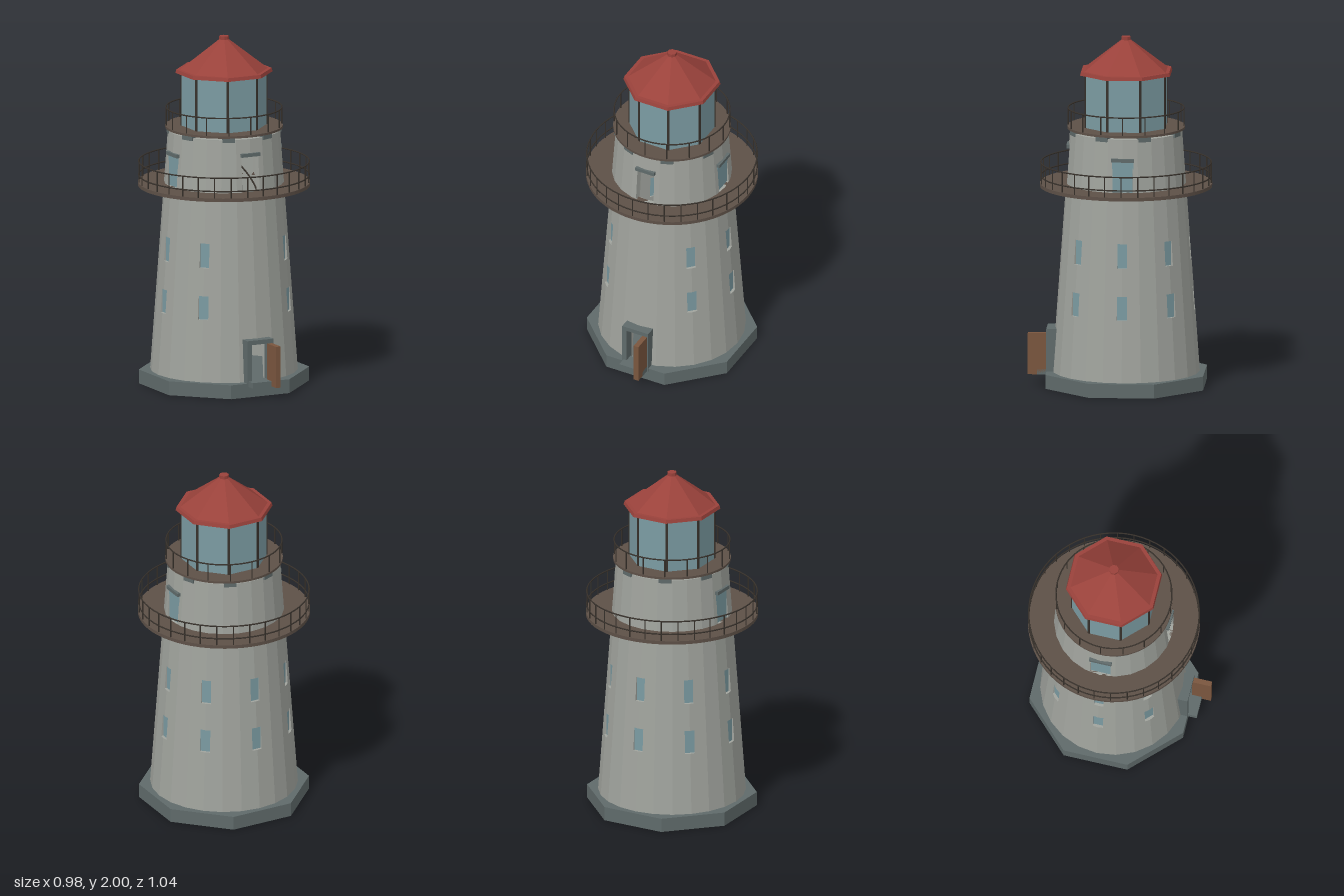
import * as THREE from 'three';

const mat = (name, color, extra = {}) => {
  const m = new THREE.MeshStandardMaterial({ color, ...extra });
  m.name = name;
  return m;
};
const RAD = Math.PI / 180;
const OCT = Math.cos(Math.PI / 8);

export function createModel() {
  const M = {
    wall: mat('grey wall', 0xa0a39d, { side: THREE.DoubleSide }),
    stone: mat('dark stone', 0x5f6a6a),
    deck: mat('brown deck', 0x5d5047),
    iron: mat('dark iron', 0x37312b),
    glass: mat('blue glass', 0x7b9ba2),
    roof: mat('red roof', 0x9a423b),
    wood: mat('brown wood', 0x7a563e),
  };
  const root = new THREE.Group();
  root.name = 'lighthouse';
  const model = new THREE.Group();
  model.name = 'tower';
  model.position.z = -0.033;
  root.add(model);

  const add = (name, geo, material, parent = model) => {
    const mesh = new THREE.Mesh(geo, material);
    mesh.name = name;
    parent.add(mesh);
    return mesh;
  };
  const flat = (g) => {
    g = g.toNonIndexed();
    g.computeVertexNormals();
    return g;
  };
  // Box given by its ranges on each axis
  const box = (name, m, x0, x1, y0, y1, z0, z1, parent) => {
    const b = add(name, new THREE.BoxGeometry(x1 - x0, y1 - y0, z1 - z0), m, parent);
    b.position.set((x0 + x1) / 2, (y0 + y1) / 2, (z0 + z1) / 2);
    return b;
  };
  // Octagonal prism or frustum, sized by the distance to its flat sides
  const octagon = (name, m, bottom, top, y0, y1) => {
    const g = new THREE.CylinderGeometry(top / OCT, bottom / OCT, y1 - y0, 8, 1, false, Math.PI / 8);
    add(name, flat(g), m).position.y = (y0 + y1) / 2;
  };
  // Group turned to face a compass angle (0 = front, 90 = +x)
  const facing = (name, deg) => {
    const g = new THREE.Group();
    g.name = name;
    g.rotation.y = deg * RAD;
    model.add(g);
    return g;
  };

  // Foundation
  octagon('foundation', M.stone, 0.447, 0.447, 0, 0.08);

  // Tapered, 24-sided hollow wall with cut openings
  const radius = (y) => 0.418 - (y - 0.08) * 0.0725;
  const openings = [
    { a: 0, h: 8, y0: 0.08, y1: 0.3 },
    { a: 0, h: 9.5, y0: 1.16, y1: 1.365 },
    { a: 90, h: 10, y0: 1.16, y1: 1.34 },
    { a: 270, h: 10, y0: 1.16, y1: 1.34 },
  ];
  const windows = [];
  for (let a = 45; a < 360; a += 45) {
    for (const [y0, y1] of [[0.435, 0.57], [0.73, 0.87]]) windows.push({ a, h: 4.4, y0, y1 });
  }
  openings.push(...windows);
  const unique = (list) => [...new Set(list)].sort((p, q) => p - q);
  const angles = unique([
    ...Array.from({ length: 25 }, (_, i) => -30 + i * 15),
    ...openings.flatMap((o) => [o.a - o.h, o.a + o.h]),
  ]);
  const levels = unique([0.08, 1.46, ...openings.flatMap((o) => [o.y0, o.y1])]);
  const point = (deg, y, inset) => {
    const k = Math.floor(deg / 15) * 15, t = (deg - k) / 15, r = radius(y) - inset;
    const f = (fn) => r * (fn(k * RAD) * (1 - t) + fn((k + 15) * RAD) * t);
    return [f(Math.sin), y, f(Math.cos)];
  };
  const pos = [];
  const quad = (a, b, c, d) => pos.push(...a, ...b, ...c, ...a, ...c, ...d);
  const T = 0.03;
  for (let i = 0; i < angles.length - 1; i++) {
    for (let j = 0; j < levels.length - 1; j++) {
      const [a0, a1, y0, y1] = [angles[i], angles[i + 1], levels[j], levels[j + 1]];
      const am = (a0 + a1) / 2, ym = (y0 + y1) / 2;
      if (openings.some((o) => Math.abs(am - o.a) < o.h && ym > o.y0 && ym < o.y1)) continue;
      quad(point(a0, y0, 0), point(a1, y0, 0), point(a1, y1, 0), point(a0, y1, 0));
      quad(point(a1, y0, T), point(a0, y0, T), point(a0, y1, T), point(a1, y1, T));
    }
  }
  // Reveals around each opening
  for (const o of openings) {
    const l = o.a - o.h, r = o.a + o.h;
    quad(point(l, o.y0, 0), point(l, o.y0, T), point(l, o.y1, T), point(l, o.y1, 0));
    quad(point(r, o.y0, T), point(r, o.y0, 0), point(r, o.y1, 0), point(r, o.y1, T));
    const span = angles.filter((a) => a >= l && a <= r);
    for (let i = 0; i < span.length - 1; i++) {
      const [a, b] = [span[i], span[i + 1]];
      quad(point(a, o.y0, 0), point(b, o.y0, 0), point(b, o.y0, T), point(a, o.y0, T));
      quad(point(a, o.y1, T), point(b, o.y1, T), point(b, o.y1, 0), point(a, o.y1, 0));
    }
  }
  const wall = new THREE.BufferGeometry();
  wall.setAttribute('position', new THREE.Float32BufferAttribute(pos, 3));
  wall.computeVertexNormals();
  add('towerWall', wall, M.wall);
  add('towerCap', flat(new THREE.CylinderGeometry(0.318, 0.318, 0.01, 24)), M.wall).position.y = 1.457;

  // Recessed window panes
  for (const w of windows) {
    const r = radius((w.y0 + w.y1) / 2) - 0.012;
    box('windowPane', M.glass, -0.03, 0.03, w.y0, w.y1, r - 0.008, r, facing('window', w.a));
  }

  // Entrance with stone frame, step and open door
  const entrance = facing('entrance', 0);
  for (const s of [-1, 1]) box('doorJamb', M.stone, s * 0.069 - 0.014, s * 0.069 + 0.014, 0.06, 0.3, 0.385, 0.448, entrance);
  box('doorLintel', M.stone, -0.083, 0.083, 0.3, 0.325, 0.385, 0.448, entrance);
  box('doorStep', M.stone, -0.075, 0.075, 0.06, 0.092, 0.4, 0.5, entrance);
  box('openDoor', M.wood, 0.045, 0.075, 0.062, 0.3, 0.443, 0.553, entrance);

  // Balcony doorways: open at the front, glazed at the sides
  const frontDoorway = facing('balconyDoorway', 0);
  box('doorwayLintel', M.stone, -0.06, 0.06, 1.362, 1.382, 0.3, 0.335, frontDoorway);
  for (const a of [90, 270]) {
    const d = facing('balconyDoor', a);
    box('doorPane', M.glass, -0.06, 0.06, 1.16, 1.34, 0.31, 0.322, d);
    box('doorLintel', M.stone, -0.065, 0.065, 1.335, 1.355, 0.3, 0.337, d);
  }

  // Spiral stair inside, with its handrail
  const rail = [];
  for (let i = 0; i < 45; i++) {
    const deg = 157 + i * 10, y = 0.08 + (i + 1) * 0.03;
    box('stairStep', M.wall, -0.019, 0.019, y - 0.04, y, 0.03, 0.2, facing('stair', deg));
    rail.push(new THREE.Vector3(Math.sin(deg * RAD) * 0.2, y + 0.12, Math.cos(deg * RAD) * 0.2));
  }
  const railPath = new THREE.CatmullRomCurve3(rail.slice(0, 41));
  add('stairRail', new THREE.TubeGeometry(railPath, 120, 0.005, 5), M.iron);

  // Galleries: ring deck, posts and round rails
  const gallery = (name, inner, outer, y0, y1, posts, rails) => {
    const ring = [[inner, y0], [outer, y0], [outer, y1], [inner, y1], [inner, y0]];
    const g = new THREE.LatheGeometry(ring.map(([x, y]) => new THREE.Vector2(x, y)), 64);
    add(name + 'Deck', flat(g), M.deck);
    const r = outer - 0.005, top = rails[0];
    for (const y of rails) {
      const t = add(name + 'Rail', new THREE.TorusGeometry(r, 0.004, 6, 64), M.iron);
      t.rotation.x = Math.PI / 2;
      t.position.y = y;
    }
    for (let i = 0; i < posts; i++) {
      const a = (i / posts) * Math.PI * 2;
      const p = add(name + 'Post', new THREE.CylinderGeometry(0.0035, 0.0035, top - y1, 6), M.iron);
      p.position.set(Math.sin(a) * r, (top + y1) / 2, Math.cos(a) * r);
    }
  };
  gallery('lowerGallery', 0.31, 0.4875, 1.14, 1.16, 32, [1.277, 1.2]);
  gallery('upperGallery', 0.05, 0.333, 1.474, 1.487, 16, [1.59]);

  // Brackets and plinth below the upper gallery
  octagon('lanternPlinth', M.stone, 0.255, 0.255, 1.455, 1.475);
  for (let i = 0; i < 8; i++) {
    box('galleryBracket', M.stone, -0.036, 0.036, 1.447, 1.474, 0.26, 0.324, facing('bracket', 22.5 + i * 45));
  }

  // Octagonal lantern room: glass panels and corner posts
  for (let i = 0; i < 8; i++) {
    const side = facing('lanternSide', i * 45);
    box('lanternGlass', M.glass, -0.086, 0.086, 1.487, 1.79, 0.217, 0.226, side);
    const corner = facing('lanternCorner', 22.5 + i * 45);
    box('lanternPost', M.iron, -0.007, 0.007, 1.487, 1.79, 0.232, 0.246, corner);
  }

  // Roof
  octagon('roofEave', M.roof, 0.255, 0.25, 1.79, 1.81);
  octagon('roofCone', M.roof, 0.23, 0.02, 1.81, 1.985);
  octagon('roofFinial', M.roof, 0.025, 0.025, 1.978, 2);
  return root;
}
